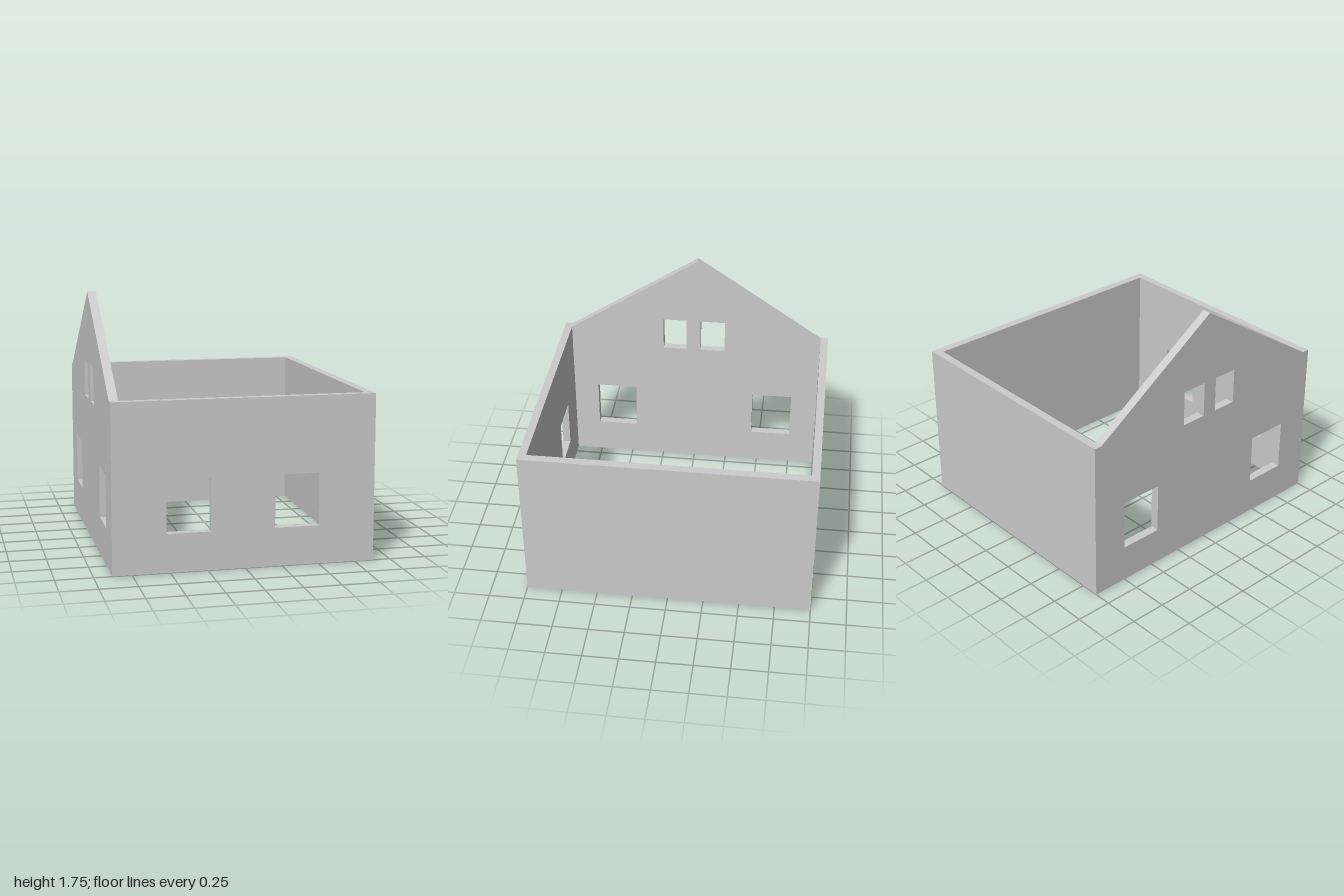
import * as THREE from 'three';

const W = 0.88, L = 1, H = 1.13;      // half width, half length, wall height
const T_END = 0.055, T_SIDE = 0.06;   // wall thicknesses
const APEX = 1.75;

const material = new THREE.MeshStandardMaterial({ color: 0xcccccc, flatShading: true });

// Extruded wall panel with rectangular openings [u0, u1, y0, y1]
function wall(name, outline, thickness, openings = []) {
  const shape = new THREE.Shape(outline.map(([u, y]) => new THREE.Vector2(u, y)));
  for (const [u0, u1, y0, y1] of openings) {
    shape.holes.push(new THREE.Path([
      new THREE.Vector2(u0, y0), new THREE.Vector2(u0, y1),
      new THREE.Vector2(u1, y1), new THREE.Vector2(u1, y0),
    ]));
  }
  const geometry = new THREE.ExtrudeGeometry(shape, { depth: thickness, bevelEnabled: false });
  const mesh = new THREE.Mesh(geometry, material);
  mesh.name = name;
  return mesh;
}

const rect = (half) => [[-half, 0], [half, 0], [half, H], [-half, H]];

export function createModel() {
  const house = new THREE.Group();
  house.name = 'houseShell';
  const inner = L - T_END;

  // Front wall with two windows, plain back wall
  const front = wall('frontWall', rect(W), T_END, [
    [-0.525, -0.23, 0.26, 0.615],
    [0.2, 0.5, 0.26, 0.615],
  ]);
  front.position.z = inner;
  const back = wall('backWall', rect(W), T_END);
  back.position.z = -L;

  // Plain left wall, turned so the outline runs along z
  const left = wall('leftWall', rect(inner), T_SIDE);
  left.geometry.rotateY(-Math.PI / 2);
  left.position.x = W;

  // Right gable wall: two large windows below, two small ones above
  const gableOutline = [[-inner, 0], [inner, 0], [inner, H], [-0.015, APEX], [-inner, H]];
  const gable = wall('gableWall', gableOutline, T_SIDE, [
    [-0.75, -0.45, 0.26, 0.615],
    [0.46, 0.76, 0.26, 0.615],
    [-0.225, -0.04, 0.995, 1.245],
    [0.065, 0.24, 0.995, 1.245],
  ]);
  gable.geometry.rotateY(-Math.PI / 2);
  gable.position.x = -W + T_SIDE;

  house.add(front, back, left, gable);
  return house;
}
